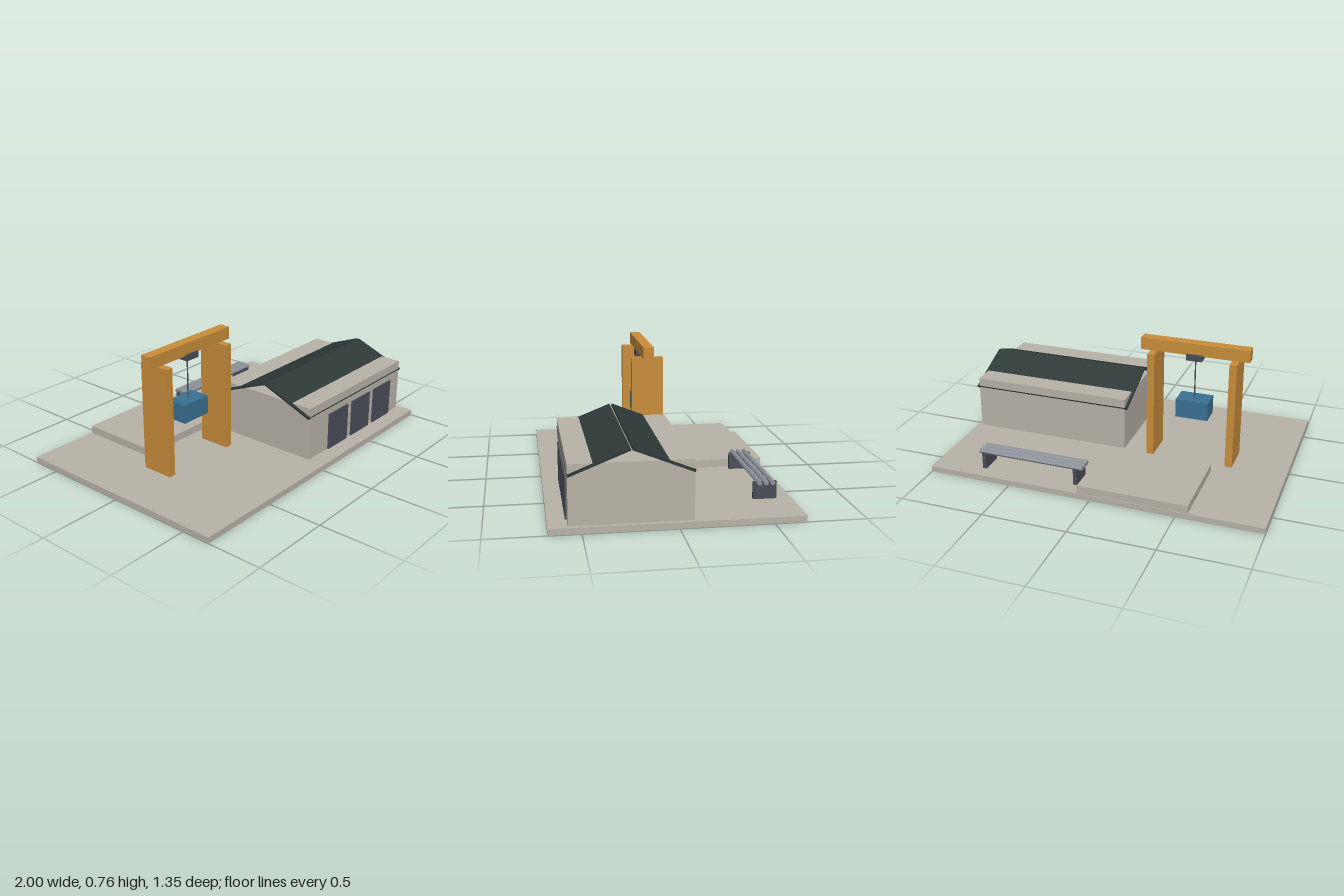
import * as THREE from 'three';

export function createModel() {
  const root = new THREE.Group();
  const mat = (name, color) => {
    const m = new THREE.MeshStandardMaterial({ color });
    m.name = name;
    return m;
  };
  const concrete = mat('concrete', 0xb8b3a8);
  const ochre = mat('ochre paint', 0xc98d3a);
  const slate = mat('slate', 0x4a4e58);
  const blue = mat('blue paint', 0x3a7092);
  const roofing = mat('dark roofing', 0x2e3938);
  const steel = mat('steel', 0x8e939b);

  const add = (name, geometry, material, parent = root) => {
    const mesh = new THREE.Mesh(geometry, material);
    mesh.name = name;
    parent.add(mesh);
    return mesh;
  };
  // Box given by its extents on each axis
  const box = (name, material, [x0, x1], [y0, y1], [z0, z1], parent = root) => {
    const mesh = add(name, new THREE.BoxGeometry(x1 - x0, y1 - y0, z1 - z0), material, parent);
    mesh.position.set((x0 + x1) / 2, (y0 + y1) / 2, (z0 + z1) / 2);
    return mesh;
  };
  const group = (name) => {
    const g = new THREE.Group();
    g.name = name;
    root.add(g);
    return g;
  };
  const floor = 0.035;

  // Ground slab and raised loading pad
  box('groundSlab', concrete, [-1, 1], [0, floor], [-0.673, 0.673]);
  box('loadingPad', concrete, [-0.572, 0.075], [floor, 0.082], [-0.668, -0.182]);

  // Workshop with three doors and two sloping roof panels
  const shop = group('workshop');
  box('walls', concrete, [0, 0.976], [floor, 0.36], [-0.081, 0.569], shop);
  for (const x of [0.285, 0.527, 0.77])
    box('door', slate, [x - 0.098, x + 0.098], [floor, 0.262], [0.569, 0.578], shop);
  for (const side of [-1, 1]) {
    const panel = add('roofPanel', new THREE.BoxGeometry(1.006, 0.013, 0.345), roofing, shop);
    panel.position.set(0.488, 0.365, 0.244 + side * 0.165);
    panel.rotation.x = side * 0.38;
  }

  // Gantry crane with trolley, cable and hanging load
  const crane = group('gantryCrane');
  for (const x of [-0.654, -0.167])
    box('post', ochre, [x - 0.022, x + 0.022], [floor, 0.685], [-0.097, 0.097], crane);
  box('beam', ochre, [-0.735, -0.085], [0.685, 0.758], [-0.032, 0.032], crane);
  box('trolley', slate, [-0.457, -0.363], [0.655, 0.693], [-0.042, 0.042], crane);
  const cable = add('cable', new THREE.CylinderGeometry(0.004, 0.004, 0.25, 6), slate, crane);
  cable.position.set(-0.41, 0.53, 0);
  box('load', blue, [-0.508, -0.313], [0.297, 0.408], [-0.064, 0.064], crane);

  // Pipe rack: two supports carrying three hexagonal pipes
  const rack = group('pipeRack');
  for (const x of [0.118, 0.692])
    box('support', slate, [x - 0.012, x + 0.012], [floor, 0.132], [-0.59, -0.46], rack);
  for (const z of [-0.562, -0.525, -0.488]) {
    const pipe = add('pipe', new THREE.CylinderGeometry(0.014, 0.014, 0.65, 6), steel, rack);
    pipe.geometry = pipe.geometry.toNonIndexed();
    pipe.geometry.computeVertexNormals();
    pipe.rotation.z = Math.PI / 2;
    pipe.position.set(0.405, 0.133, z);
  }
  return root;
}
